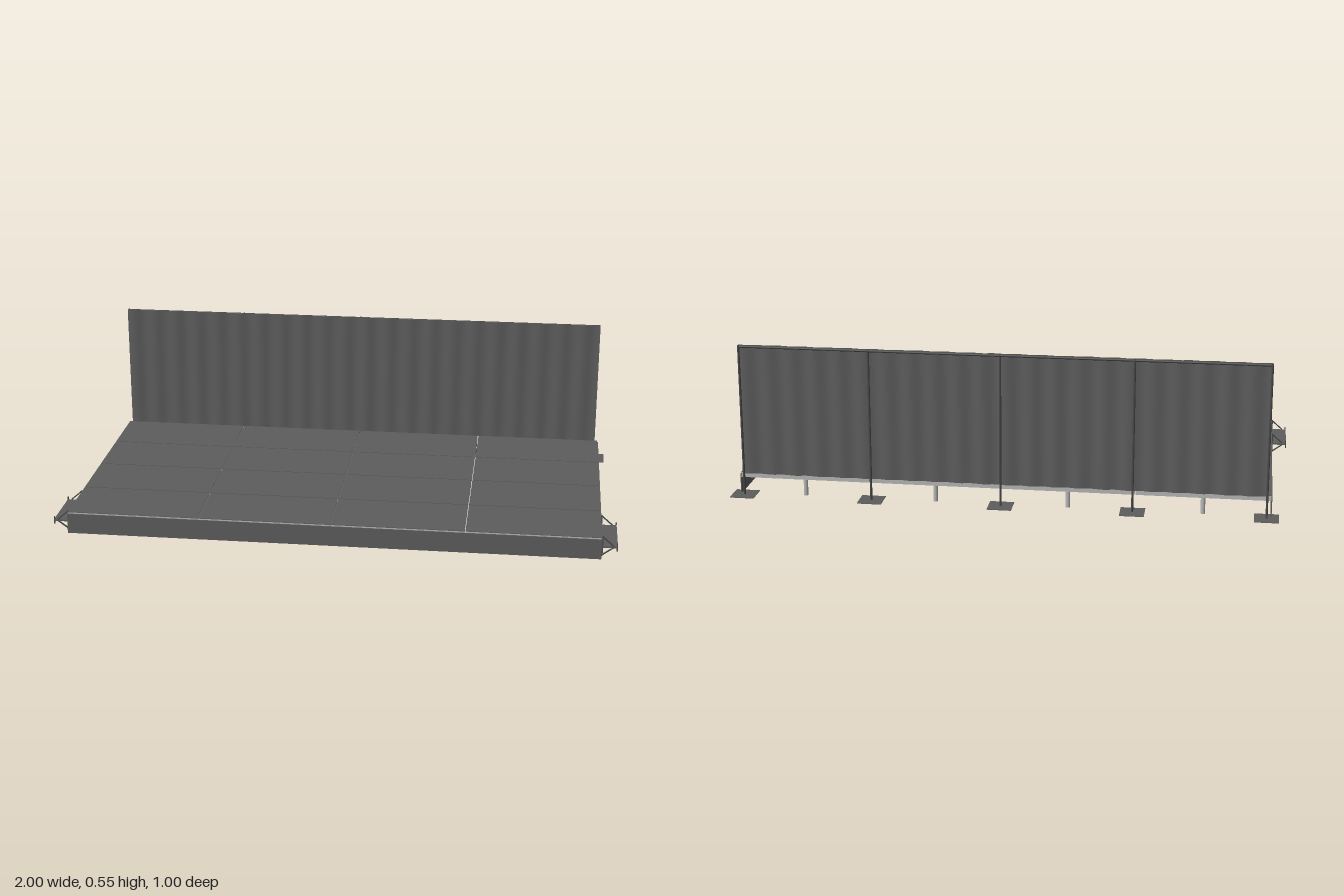
import * as THREE from 'three';

export function createModel() {
  const root = new THREE.Group();
  root.name = 'stageWithBackdrop';

  const mat = (name, color, side = THREE.FrontSide) => {
    const m = new THREE.MeshStandardMaterial({ color, side });
    m.name = name;
    return m;
  };
  const deckGrey = mat('deckGrey', 0x5d5d5d);
  const fabricGrey = mat('fabricGrey', 0x5e5e5e, THREE.DoubleSide);
  const aluminium = mat('aluminium', 0xb8b8b8);
  const darkSteel = mat('darkSteel', 0x484848);

  const add = (name, geometry, material, x, y, z, parent = root) => {
    const m = new THREE.Mesh(geometry, material);
    m.name = name;
    m.position.set(x, y, z);
    parent.add(m);
    return m;
  };
  const box = (name, w, h, d, material, x, y, z, parent) =>
    add(name, new THREE.BoxGeometry(w, h, d), material, x, y, z, parent);

  // Overall layout
  const halfW = 0.943, back = -0.445, front = 0.498, top = 0.08;
  const cols = 4, rows = 4;
  const cw = (2 * halfW) / cols, cd = (front - back) / rows;
  const gap = 0.004, boardH = 0.002;

  // Deck panels: a thin dark board on a pale metal frame
  for (let i = 0; i < cols; i++) {
    for (let j = 0; j < rows; j++) {
      const panel = new THREE.Group();
      panel.name = 'deckPanel';
      panel.position.set(-halfW + (i + 0.5) * cw, 0, back + (j + 0.5) * cd);
      root.add(panel);
      const w = cw - gap, d = cd - gap, t = 0.006, rimH = 0.018;
      box('panelBoard', w, boardH, d, deckGrey, 0, top - boardH / 2, 0, panel);
      const y = top - boardH - rimH / 2;
      for (const s of [-1, 1]) {
        box('panelRim', t, rimH, d, aluminium, s * (w - t) / 2, y, 0, panel);
        box('panelRim', w - 2 * t, rimH, t, aluminium, 0, y, s * (d - t) / 2, panel);
      }
    }
  }

  // Each panel has a leg at the middle of its front and back edges
  const legH = top - boardH;
  const legGeo = new THREE.CylinderGeometry(0.008, 0.008, legH, 12);
  for (let i = 0; i < cols; i++) {
    for (let j = 0; j < rows; j++) {
      for (const s of [-1, 1]) {
        const z = back + (j + 0.5) * cd + s * (cd / 2 - 0.012);
        add('leg', legGeo, aluminium, -halfW + (i + 0.5) * cw, legH / 2, z);
      }
    }
  }

  // Posts holding the front skirt at the panel joints
  for (let i = 1; i < cols; i++) {
    box('skirtPost', 0.012, 0.07, 0.008, aluminium, -halfW + i * cw, 0.035, front - 0.008);
  }

  // Skirts on the front and both sides, leaving the frame edge showing above
  const skirtH = 0.074;
  box('frontSkirt', 2 * halfW, skirtH, 0.003, fabricGrey, 0, skirtH / 2, front + 0.0005);
  for (const s of [-1, 1]) {
    box('sideSkirt', 0.003, skirtH, front - back, fabricGrey, s * halfW, skirtH / 2, (front + back) / 2);
  }

  // Wavy backdrop curtain
  const curtainW = 1.862, y0 = 0.076, y1 = 0.552, waves = 22;
  const curtain = new THREE.PlaneGeometry(curtainW, y1 - y0, waves * 8, 1);
  const p = curtain.attributes.position;
  for (let i = 0; i < p.count; i++) {
    p.setZ(i, 0.003 * Math.sin((p.getX(i) / curtainW) * waves * Math.PI * 2));
  }
  curtain.computeVertexNormals();
  add('backdropCurtain', curtain, fabricGrey, 0, (y0 + y1) / 2, -0.4475);

  // Backdrop frame: uprights on thin base plates, joined by a top rail
  const poleZ = -0.457, poleR = 0.004, poleH = 0.551;
  const poleGeo = new THREE.CylinderGeometry(poleR, poleR, poleH, 10);
  for (let i = 0; i < 5; i++) {
    const x = -0.927 + i * 0.4635;
    add('upright', poleGeo, darkSteel, x, poleH / 2, poleZ);
    box('basePlate', 0.086, 0.002, 0.086, deckGrey, x, 0.001, poleZ);
  }
  const railGeo = new THREE.CylinderGeometry(poleR, poleR, 1.854, 10);
  railGeo.rotateZ(Math.PI / 2);
  add('topRail', railGeo, darkSteel, 0, poleH - poleR, poleZ);

  // Steps hung on both ends of the deck
  const bar = (parent, ax, ay, bx, by, z) => {
    const len = Math.hypot(bx - ax, by - ay);
    const m = box('stepBracket', len, 0.004, 0.004, darkSteel, (ax + bx) / 2, (ay + by) / 2, z, parent);
    m.rotation.z = Math.atan2(by - ay, bx - ax);
  };
  for (const s of [-1, 1]) {
    const step = new THREE.Group();
    step.name = s > 0 ? 'leftStep' : 'rightStep';
    root.add(step);
    box('stepTread', 0.055, 0.006, 0.186, deckGrey, s * 0.9725, 0.036, 0.382, step);
    for (const z of [0.291, 0.473]) {
      bar(step, s * 0.947, 0.002, s * 0.947, 0.076, z);
      bar(step, s * 0.947, 0.073, s * 0.985, 0.04, z);
      bar(step, s * 0.947, 0.006, s * 0.985, 0.034, z);
      bar(step, s * 0.998, 0.022, s * 0.998, 0.05, z);
    }
  }

  return root;
}
